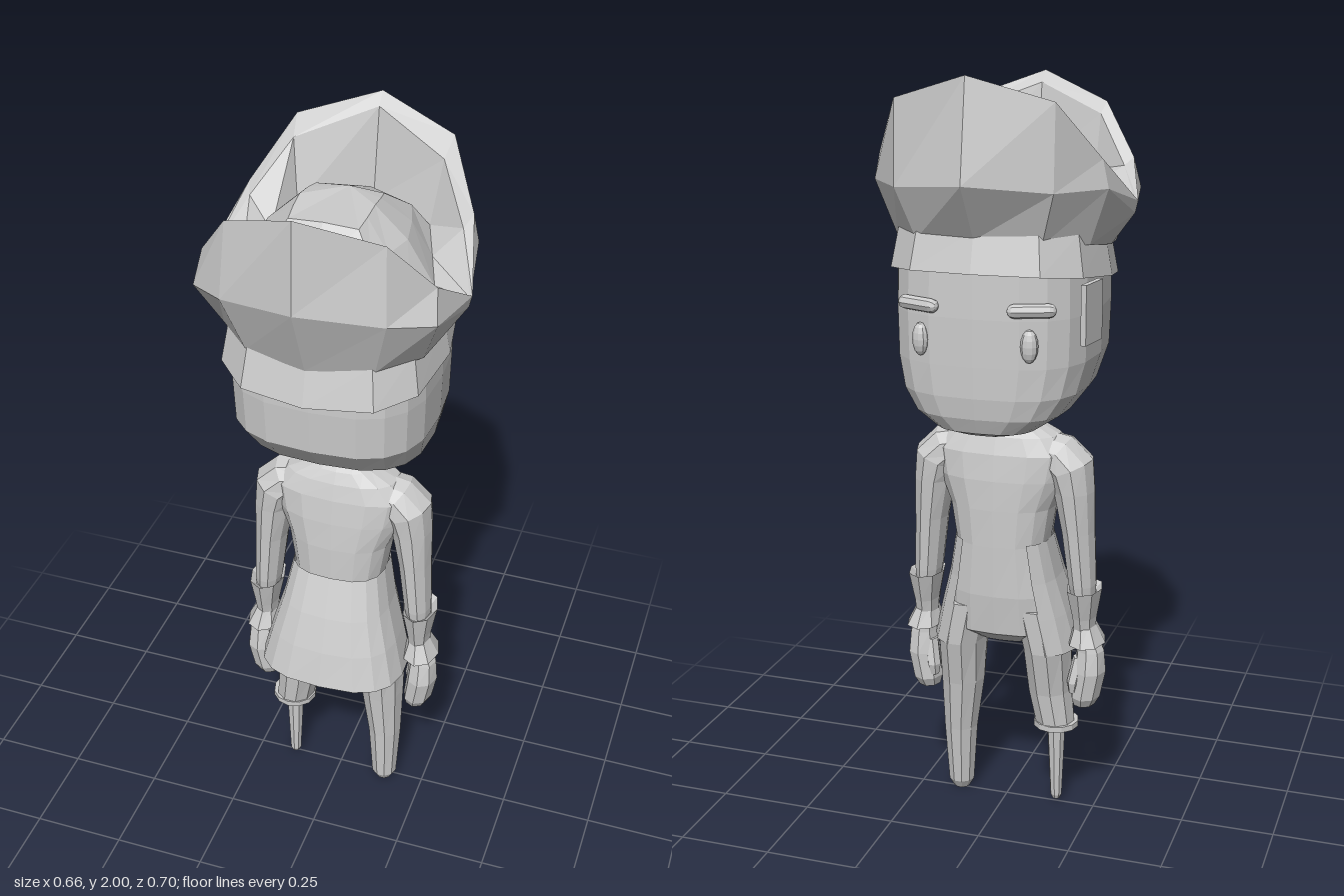
import * as THREE from 'three';

const grey = new THREE.MeshStandardMaterial({ color: 0xcccccc, flatShading: true, side: THREE.DoubleSide });
grey.name = 'light grey';

// Skin between rings listed from bottom to top, with optional end caps
function loft(rings, { open = false, caps = true } = {}) {
  const n = rings[0].length, pos = [], idx = [];
  rings.forEach(r => r.forEach(p => pos.push(...p)));
  for (let i = 0; i + 1 < rings.length; i++) {
    for (let j = 0; j < (open ? n - 1 : n); j++) {
      const k = (j + 1) % n, a = i * n, b = a + n;
      idx.push(a + j, b + j, a + k, b + j, b + k, a + k);
    }
  }
  if (caps && !open) {
    const t = (rings.length - 1) * n;
    for (let j = 1; j + 1 < n; j++) {
      idx.push(0, j, j + 1);
      idx.push(t, t + j + 1, t + j);
    }
  }
  const g = new THREE.BufferGeometry();
  g.setAttribute('position', new THREE.Float32BufferAttribute(pos, 3));
  g.setIndex(idx);
  const flat = g.toNonIndexed();
  flat.computeVertexNormals();
  return flat;
}

// Superellipse ring; e = 1 is round, smaller is squarer; tilt rolls it about z, slope tips it about x
function ring(cx, y, cz, rx, rz, { n = 10, e = 1, tilt = 0, slope = 0, from = 0, to = Math.PI * 2 } = {}) {
  const full = to - from > 6.28, pts = [];
  const pw = v => Math.sign(v) * Math.pow(Math.abs(v) < 1e-9 ? 0 : Math.abs(v), e);
  for (let i = 0; i < n; i++) {
    const a = from + (to - from) * i / (full ? n : n - 1);
    const u = pw(Math.cos(a)) * rx, z = cz + pw(Math.sin(a)) * rz;
    pts.push([cx + u * Math.cos(tilt), y + u * Math.sin(tilt) + slope * z, z]);
  }
  return pts;
}

// Centred rings from rows of [y, half width, z min, z max]
const body = (rows, opt) => rows.map(([y, w, z0, z1]) => ring(0, y, (z0 + z1) / 2, w, (z1 - z0) / 2, opt));

// Limb rings from rows of [x, y, z, rx, rz, tilt]
const limb = (rows, n) => rows.map(([x, y, z, rx, rz, tilt = 0]) => ring(x, y, z, rx, rz, { n, tilt }));

// Put rings on side s, keeping the faces outward
const onSide = (rings, s) => s > 0 ? rings : rings.map(r => r.map(([x, y, z]) => [-x, y, z]).reverse());

export function createModel() {
  const model = new THREE.Group();
  const add = (name, geo, parent = model) => {
    const m = new THREE.Mesh(geo, grey);
    m.name = name;
    parent.add(m);
    return m;
  };

  // Head: squarish, with the chin low at -z
  add('head', loft(body([
    [1.11, 0.07, -0.21, -0.08], [1.125, 0.13, -0.245, 0.0], [1.165, 0.195, -0.262, 0.09],
    [1.22, 0.235, -0.27, 0.175], [1.3, 0.255, -0.272, 0.24], [1.42, 0.258, -0.272, 0.247],
    [1.53, 0.255, -0.268, 0.245], [1.57, 0.22, -0.23, 0.22]], { n: 20, e: 0.68 })));

  // Face details
  for (const s of [1, -1]) {
    const eye = add('eye', new THREE.SphereGeometry(1, 10, 8));
    eye.scale.set(0.022, 0.042, 0.018);
    eye.position.set(s * 0.14, 1.36, -0.258);
    eye.rotation.y = -s * 0.32;
    const brow = add('eyebrow', new THREE.CapsuleGeometry(0.018, 0.085, 3, 8));
    brow.position.set(s * 0.145, 1.447, -0.256);
    brow.rotation.set(0, -s * 0.36, Math.PI / 2);
  }
  const flap = add('sideFlap', new THREE.BoxGeometry(0.014, 0.15, 0.1));
  flap.position.set(-0.264, 1.43, -0.145);
  flap.rotation.y = -0.15;

  // Hat band: flared skirt, higher over the face
  const bandOpt = { n: 12, e: 0.74, slope: -0.13 };
  add('hatBand', loft([
    ring(0, 1.54, 0, 0.25, 0.25, bandOpt), ring(0, 1.495, 0, 0.277, 0.287, bandOpt),
    ring(0, 1.6, 0, 0.258, 0.26, bandOpt)], { caps: false }));

  // Hat: up the brim, over its rim, down inside and up to the crown.
  // Half sections run from -z to +z, then mirror
  const hat = [
    [[0, 1.61, -0.26], [0.16, 1.60, -0.225], [0.25, 1.59, -0.12], [0.268, 1.57, 0.02], [0.25, 1.56, 0.14], [0.16, 1.555, 0.23], [0, 1.55, 0.267]],
    [[0, 1.75, -0.353], [0.2, 1.73, -0.265], [0.3, 1.73, -0.14], [0.325, 1.65, 0.03], [0.297, 1.69, 0.205], [0.2, 1.71, 0.28], [0, 1.74, 0.348]],
    [[0, 2.0, -0.315], [0.2, 1.94, -0.255], [0.285, 1.8, -0.14], [0.332, 1.68, 0.03], [0.285, 1.77, 0.17], [0.19, 1.9, 0.255], [0, 1.97, 0.335]],
    [[0, 1.97, -0.287], [0.19, 1.9, -0.2], [0.27, 1.78, -0.1], [0.325, 1.675, 0.03], [0.265, 1.75, 0.15], [0.18, 1.87, 0.23], [0, 1.94, 0.3]],
    [[0, 1.74, -0.25], [0.17, 1.74, -0.165], [0.205, 1.71, -0.07], [0.24, 1.69, 0.03], [0.205, 1.71, 0.12], [0.175, 1.73, 0.205], [0, 1.73, 0.265]],
    [[0, 1.79, -0.22], [0.13, 1.8, -0.14], [0.155, 1.8, -0.06], [0.172, 1.8, 0.03], [0.15, 1.8, 0.11], [0.13, 1.8, 0.17], [0, 1.79, 0.21]],
    [[0, 1.865, -0.065], [0.085, 1.86, -0.062], [0.09, 1.868, -0.02], [0.092, 1.875, 0.03], [0.09, 1.868, 0.08], [0.085, 1.86, 0.128], [0, 1.865, 0.13]],
  ].map(h => [...h, ...h.slice(1, 6).reverse().map(([x, y, z]) => [-x, y, z])]);
  add('hat', loft(hat));

  // Torso and neck
  add('torso', loft(body([
    [0.49, 0.08, -0.05, 0.05], [0.53, 0.15, -0.105, 0.085], [0.64, 0.145, -0.118, 0.09],
    [0.78, 0.126, -0.12, 0.092], [0.88, 0.142, -0.12, 0.09], [0.96, 0.175, -0.118, 0.083],
    [1.03, 0.19, -0.11, 0.073], [1.075, 0.15, -0.095, 0.06], [1.105, 0.09, -0.075, 0.045],
    [1.125, 0.052, -0.06, 0.03], [1.17, 0.045, -0.055, 0.025]], { n: 16, e: 0.8 })));

  // Coat skirt: open at the -z side
  add('coatSkirt', loft(body([
    [0.478, 0.203, -0.118, 0.192], [0.58, 0.178, -0.12, 0.168], [0.68, 0.15, -0.122, 0.138],
    [0.79, 0.128, -0.123, 0.097]], { n: 15, e: 0.72, from: -0.95, to: Math.PI + 0.95 }), { open: true }));

  // Legs: one whole, one ending in a peg
  const thigh = [[0.125, 0.35, 0, 0.06, 0.07], [0.12, 0.48, -0.008, 0.065, 0.092], [0.095, 0.6, -0.012, 0.065, 0.095]];
  add('leftLeg', loft(limb([[0.137, 0.005, 0.01, 0.022, 0.022], [0.137, 0.03, 0.01, 0.036, 0.037],
    [0.135, 0.2, 0.005, 0.047, 0.052], ...thigh], 10)));
  add('rightLeg', loft(onSide(limb([[0.14, 0.25, 0, 0.054, 0.058], ...thigh], 10), -1)));
  const pegCuff = add('pegCuff', new THREE.CylinderGeometry(0.062, 0.062, 0.016, 12));
  pegCuff.position.set(-0.142, 0.25, 0);
  add('pegLeg', loft(onSide(limb([[0.142, 0.012, 0.005, 0.01, 0.01], [0.142, 0.025, 0.005, 0.016, 0.016],
    [0.142, 0.25, 0, 0.026, 0.026]], 8), -1)));

  // Arms, cuffs and hands
  for (const s of [1, -1]) {
    const arm = new THREE.Group();
    arm.name = s > 0 ? 'leftArm' : 'rightArm';
    model.add(arm);
    const part = (name, rows, n) => add(name, loft(onSide(limb(rows, n), s)), arm);
    part('sleeve', [
      [0.22, 0.62, -0.015, 0.03, 0.045], [0.216, 0.67, -0.015, 0.037, 0.052], [0.204, 0.82, -0.018, 0.044, 0.062],
      [0.192, 0.93, -0.02, 0.055, 0.07], [0.18, 0.99, -0.02, 0.066, 0.075, 0.4],
      [0.145, 1.022, -0.02, 0.063, 0.068, 0.9], [0.08, 1.035, -0.02, 0.055, 0.058, 1.3]], 10);
    part('cuff', [
      [0.223, 0.545, -0.015, 0.03, 0.045], [0.223, 0.58, -0.015, 0.033, 0.052],
      [0.222, 0.66, -0.018, 0.048, 0.072], [0.22, 0.645, -0.016, 0.034, 0.05]], 8);
    part('ruff', [
      [0.228, 0.515, -0.012, 0.025, 0.035], [0.23, 0.505, -0.013, 0.05, 0.072],
      [0.224, 0.56, -0.014, 0.027, 0.042]], 8);
    part('hand', [
      [0.222, 0.32, -0.008, 0.03, 0.036], [0.226, 0.345, -0.008, 0.04, 0.05], [0.238, 0.42, -0.006, 0.043, 0.055],
      [0.238, 0.48, -0.008, 0.038, 0.042], [0.228, 0.53, -0.01, 0.024, 0.034]], 8);
    part('thumb', [
      [0.198, 0.36, -0.035, 0.012, 0.014], [0.2, 0.39, -0.035, 0.019, 0.022],
      [0.212, 0.46, -0.02, 0.018, 0.022]], 6);
  }
  return model;
}
